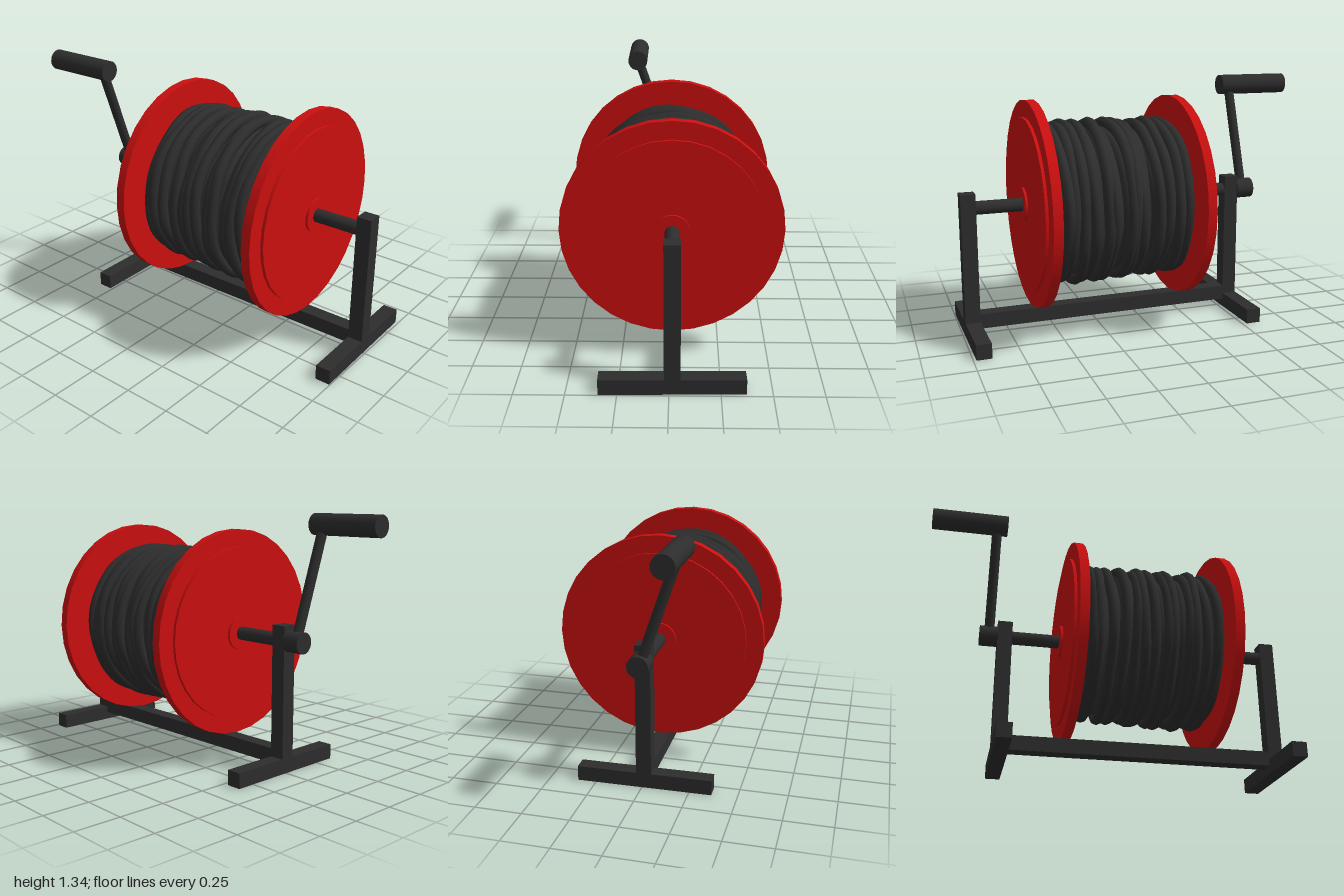
import * as THREE from 'three';

const dark = new THREE.MeshStandardMaterial({ color: 0x2d2d2d });
const red = new THREE.MeshStandardMaterial({ color: 0xcc0f0f });
const AXIS_Y = 0.7, MID_X = 0.2;

export function createModel() {
  const model = new THREE.Group();
  model.name = 'hoseReel';

  const add = (parent, name, geometry, material) => {
    const mesh = new THREE.Mesh(geometry, material);
    mesh.name = name;
    parent.add(mesh);
    return mesh;
  };
  const box = (parent, name, w, h, d, x, y, z) =>
    add(parent, name, new THREE.BoxGeometry(w, h, d), dark).position.set(x, y, z);
  // cylinder running along x from x0 to x1
  const rod = (parent, name, r, x0, x1, y, z, material, sides = 32) => {
    const geo = new THREE.CylinderGeometry(r, r, Math.abs(x1 - x0), sides).rotateZ(Math.PI / 2);
    add(parent, name, geo, material).position.set((x0 + x1) / 2, y, z);
  };

  // stand: two posts on cross feet, joined by a rail
  const stand = new THREE.Group();
  stand.name = 'stand';
  model.add(stand);
  for (const [side, x] of [['right', -0.56], ['left', 0.95]]) {
    box(stand, side + 'Post', 0.08, 0.7, 0.08, x, 0.43, 0);
    box(stand, side + 'Foot', 0.08, 0.08, 0.715, x, 0.04, 0);
  }
  box(stand, 'bottomRail', 1.45, 0.08, 0.08, 0.195, 0.085, 0);

  // axle and drum
  rod(model, 'axle', 0.036, -0.6, 0.93, AXIS_Y, 0, dark, 24);
  rod(model, 'drum', 0.3, MID_X - 0.385, MID_X + 0.385, AXIS_Y, 0, dark);

  // stepped side flanges, mirrored about the middle of the reel
  for (const [side, s] of [['right', -1], ['left', 1]]) {
    const flange = new THREE.Group();
    flange.name = side + 'Flange';
    model.add(flange);
    const disc = (name, r, inner, outer) =>
      rod(flange, name, r, MID_X + s * inner, MID_X + s * outer, AXIS_Y, 0, red);
    disc('flangeRim', 0.556, 0.38, 0.43);
    disc('flangePlate', 0.465, 0.43, 0.446);
    disc('flangeHub', 0.09, 0.446, 0.459);
  }

  // one loop of hose around the drum, slightly wavy
  const hose = new THREE.Group();
  hose.name = 'woundHose';
  model.add(hose);
  const coil = (name, x, outerR, hoseR, seed) => {
    const points = [];
    for (let i = 0; i < 28; i++) {
      const a = (i / 28) * Math.PI * 2;
      const dx = 0.009 * Math.sin(a + seed * 2.1) + 0.005 * Math.sin(3 * a + seed * 1.3);
      const r = outerR - hoseR + 0.004 * Math.sin(4 * a + seed * 3.7) + 0.003 * Math.sin(7 * a + seed);
      points.push(new THREE.Vector3(x + dx, AXIS_Y + r * Math.cos(a), r * Math.sin(a)));
    }
    const path = new THREE.CatmullRomCurve3(points, true);
    add(hose, name, new THREE.TubeGeometry(path, 84, hoseR, 8, true), dark);
  };

  // under layer fills the gaps
  for (let i = 0; i < 14; i++) coil('innerCoil', -0.13 + i * 0.053, 0.4, 0.034, i + 0.5);

  // top layer, bunched in uneven groups: [x, outer radius]
  const topCoils = [
    [-0.133, 0.435], [-0.095, 0.44], [-0.03, 0.44], [0.032, 0.44], [0.108, 0.435],
    [0.145, 0.445], [0.182, 0.45], [0.267, 0.445], [0.295, 0.45], [0.377, 0.442],
    [0.422, 0.452], [0.475, 0.44], [0.522, 0.444],
  ];
  topCoils.forEach(([x, r], i) => coil('outerCoil', x, r, 0.029, i));

  // crank with slanted arm and grip
  const crank = new THREE.Group();
  crank.name = 'crank';
  model.add(crank);
  rod(crank, 'crankHub', 0.056, -0.697, -0.597, AXIS_Y, 0, dark, 24);
  rod(crank, 'crankGrip', 0.057, -1.0, -0.588, 1.287, 0.203, dark, 24);
  const from = new THREE.Vector3(-0.645, AXIS_Y, 0);
  const to = new THREE.Vector3(-0.645, 1.28, 0.2);
  const dir = to.clone().sub(from);
  const arm = add(crank, 'crankArm', new THREE.CylinderGeometry(0.027, 0.027, dir.length(), 20), dark);
  arm.position.copy(from).add(to).multiplyScalar(0.5);
  arm.quaternion.setFromUnitVectors(new THREE.Vector3(0, 1, 0), dir.normalize());

  // the whole reel stands very slightly turned
  model.rotation.y = 0.016;
  return model;
}
